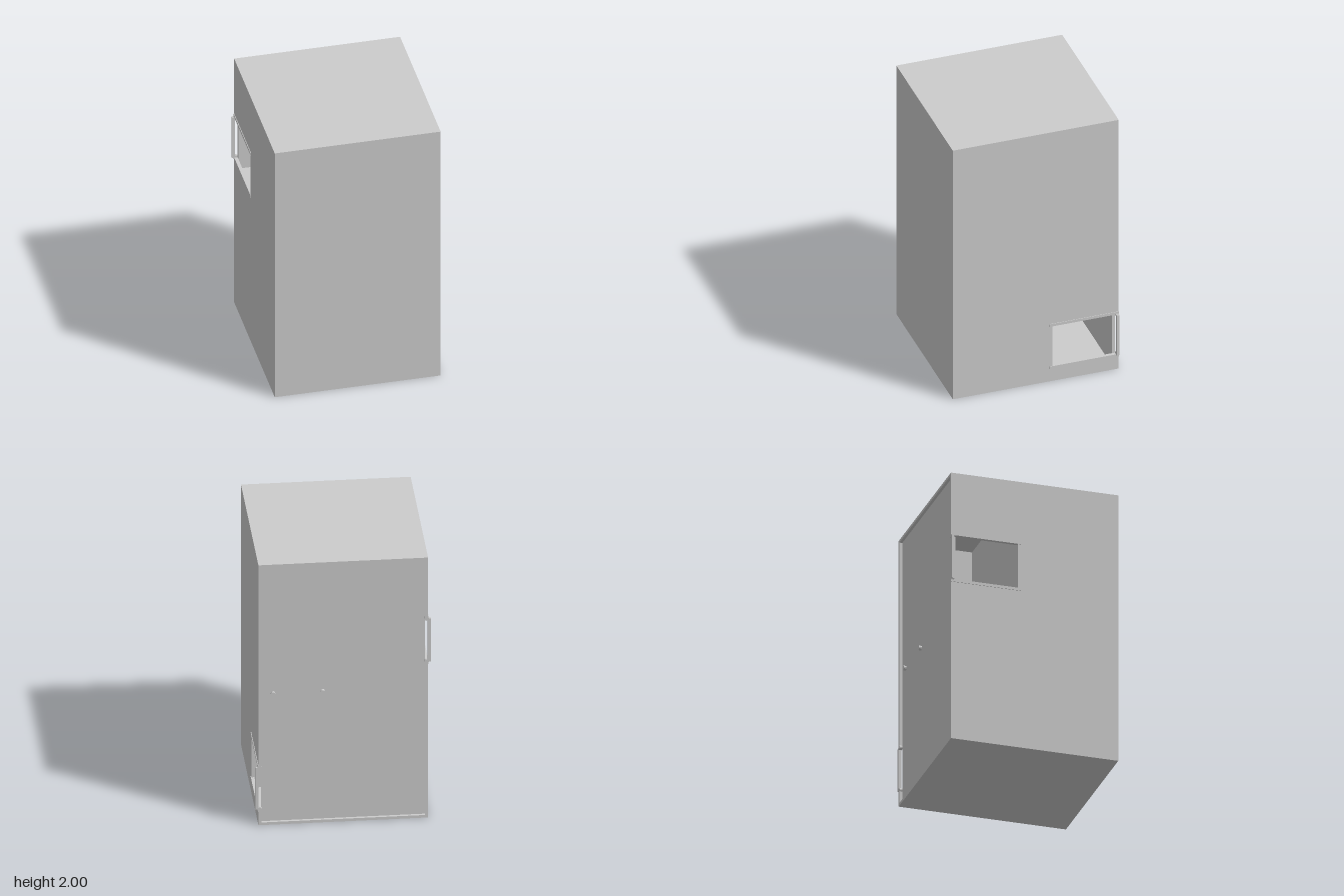
import * as THREE from 'three';

const mat = new THREE.MeshStandardMaterial({ color: 0xcccccc, flatShading: true });
const W = 0.582, D = 0.6, H = 2, T = 0.02; // half width, half depth, height, wall thickness

// Box given by its min and max corners
function box(parent, name, [x0, y0, z0], [x1, y1, z1]) {
  const mesh = new THREE.Mesh(new THREE.BoxGeometry(x1 - x0, y1 - y0, z1 - z0), mat);
  mesh.position.set((x0 + x1) / 2, (y0 + y1) / 2, (z0 + z1) / 2);
  mesh.name = name;
  parent.add(mesh);
}

// Short peg pointing backwards
function peg(parent, name, x, y) {
  const mesh = new THREE.Mesh(new THREE.CylinderGeometry(0.016, 0.016, T, 12), mat);
  mesh.rotation.x = Math.PI / 2;
  mesh.position.set(x, y, -D + T / 2);
  mesh.name = name;
  parent.add(mesh);
}

// Side wall with a window notched in from the back edge, and its trim
function side(sign, y0, y1, name) {
  const group = new THREE.Group();
  group.name = name;
  const front = -0.12;

  // Outline in (-z, y), extruded across the wall thickness
  const outline = [[-D, 0], [D, 0], [D, y0], [-front, y0], [-front, y1], [D, y1], [D, H], [-D, H]];
  const shape = new THREE.Shape(outline.map(([a, b]) => new THREE.Vector2(a, b)));
  const geo = new THREE.ExtrudeGeometry(shape, { depth: T, bevelEnabled: false });
  geo.rotateY(Math.PI / 2);
  geo.translate(sign > 0 ? W - T : -W, 0, 0);
  const wall = new THREE.Mesh(geo, mat);
  wall.name = 'sideWall';
  group.add(wall);

  // Thin rails above and below the window, and the raised strip at its back edge
  const xs = (a, b) => (sign > 0 ? [a, b] : [-b, -a]);
  const [r0, r1] = xs(W - 0.002, W + 0.004);
  box(group, 'lowerRail', [r0, y0 - 0.02, -D], [r1, y0, front + 0.02]);
  box(group, 'upperRail', [r0, y1, -D], [r1, y1 + 0.02, front + 0.02]);
  const [s0, s1] = xs(W - 0.002, 0.602);
  box(group, 'windowStrip', [s0, y0, -D], [s1, y1, -D + T]);

  // Pegs at the window corners
  for (const y of [y0, y1]) peg(group, 'cornerPeg', sign * (W - 0.01), y);
  return group;
}

export function createModel() {
  const model = new THREE.Group();
  model.name = 'cabinet';
  const x = W - T;

  // Outer shell
  box(model, 'frontPanel', [-x, T, D - T], [x, H - T, D]);
  box(model, 'floor', [-x, 0, -D], [x, T, D]);
  box(model, 'roof', [-x, H - T, -D], [x, H, D]);
  model.add(side(1, 0.12, 0.44, 'leftSide'));
  model.add(side(-1, 1.2, 1.53, 'rightSide'));

  // Recessed back panel with two pegs
  box(model, 'backPanel', [-x, T, -D + T], [x, H - T, -D + 2 * T]);
  for (const px of [0.14, 0.48]) peg(model, 'backPeg', px, 1.0);

  // Inner divider and shelf behind the windows
  box(model, 'innerDivider', [-x, T, -0.08], [x, H - T, -0.06]);
  box(model, 'innerShelf', [-x, 1.1, -D + 2 * T], [x, 1.12, -0.08]);
  return model;
}
